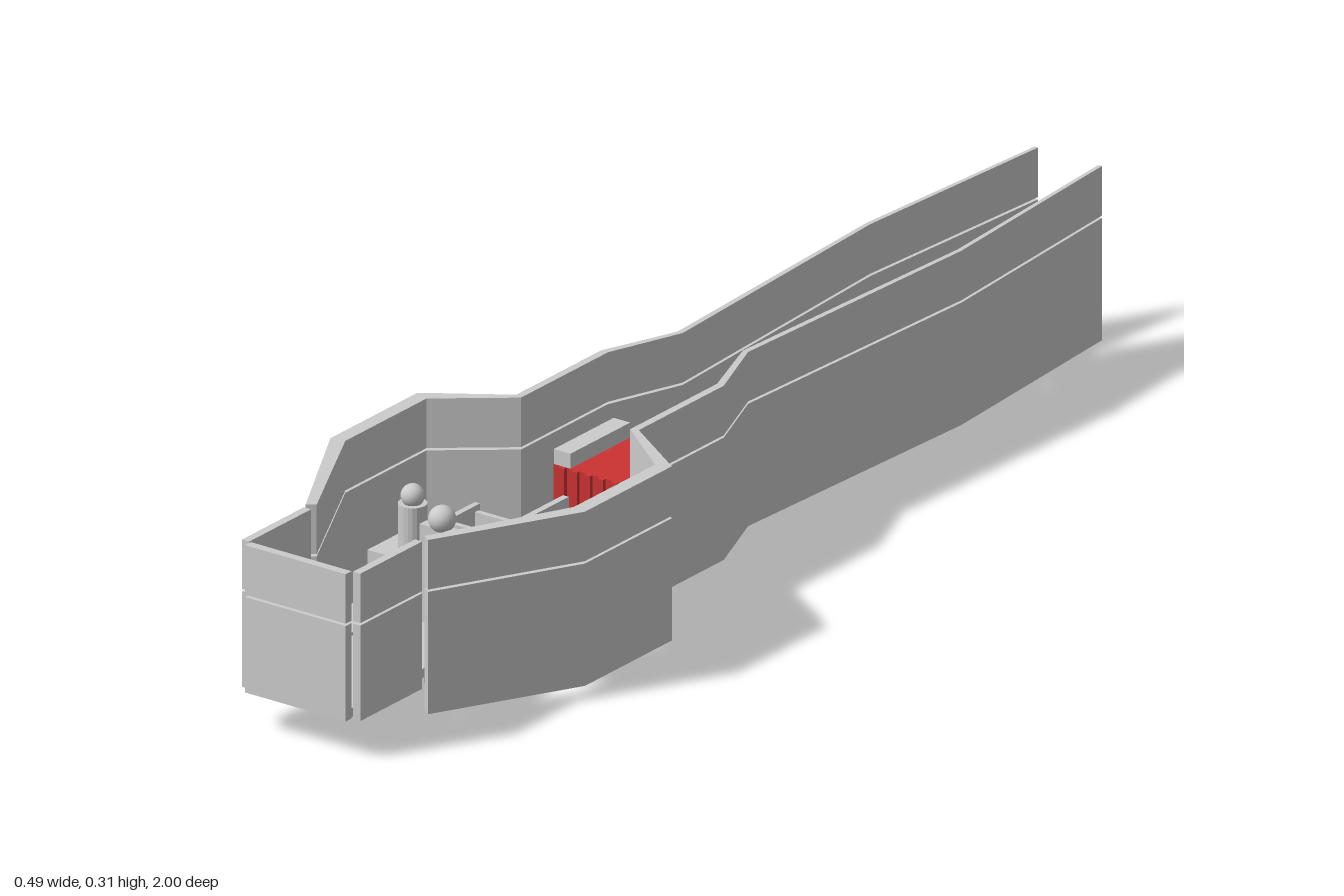
import * as THREE from 'three';

const grey = new THREE.MeshStandardMaterial({ color: 0xcccccc, flatShading: true });
const smooth = new THREE.MeshStandardMaterial({ color: 0xcccccc });
const red = new THREE.MeshStandardMaterial({ color: 0xcc3333, flatShading: true });

export function createModel() {
  const model = new THREE.Group();

  function add(name, geometry, material = grey) {
    const mesh = new THREE.Mesh(geometry, material);
    mesh.name = name;
    model.add(mesh);
    return mesh;
  }
  // Box given by its limits on each axis
  function box(name, x0, x1, y0, y1, z0, z1, material) {
    const g = new THREE.BoxGeometry(x1 - x0, y1 - y0, z1 - z0);
    g.translate((x0 + x1) / 2, (y0 + y1) / 2, (z0 + z1) / 2);
    return add(name, g, material);
  }
  // Plan outline of [x, z] points raised from y0 to y1
  function slab(name, pts, y0, y1, material, hole) {
    const toPath = list => list.map(([x, z]) => new THREE.Vector2(x, -z));
    const shape = new THREE.Shape(toPath(pts));
    if (hole) shape.holes.push(new THREE.Path(toPath(hole)));
    const g = new THREE.ExtrudeGeometry(shape, { depth: y1 - y0, bevelEnabled: false });
    g.rotateX(-Math.PI / 2).translate(0, y0, 0);
    return add(name, g, material);
  }
  const flip = pts => pts.map(([x, z]) => [-x, z]);
  // Symmetric outline from its +x half
  const both = half => [...half, ...flip(half).reverse()];
  const rect = (x, z0, z1) => [[x, z0], [x, z1], [-x, z1], [-x, z0]];

  // Long side walls, in a lower and an upper band
  const outer = [[0.065, -1], [0.092, -0.6], [0.068, -0.08], [0.118, 0.05],
    [0.118, 0.27], [0.245, 0.355], [0.245, 0.58], [0.118, 0.815]];
  const inner = [[0.058, -1], [0.084, -0.6], [0.058, -0.08], [0.105, 0.05],
    [0.105, 0.275], [0.22, 0.365], [0.22, 0.575], [0.104, 0.805]];
  const wall = [...outer, ...inner.slice().reverse()];
  const bands = [['lower', 0.02, 0.225], ['upper', 0.229, 0.312]];
  for (const [band, y0, y1] of bands) {
    slab(band + 'WallLeft', wall, y0, y1);
    slab(band + 'WallRight', flip(wall), y0, y1);
    // Front enclosure
    const yf = Math.max(y0, 0.065);
    box(band + 'FrontPlate', -0.097, 0.097, yf, y1, 0.985, 1);
    for (const s of [1, -1]) {
      box(band + 'FrontSide', Math.min(s * 0.1, s * 0.114), Math.max(s * 0.1, s * 0.114),
        yf, y1, 0.825, 0.985);
    }
  }

  // Front floor and its side wedges
  slab('frontFloor', both([[0.05, 0.64], [0.094, 0.81], [0.094, 0.983]]), 0.065, 0.08);
  const wedge = [[0.06, 0.64], [0.155, 0.64], [0.155, 0.71], [0.103, 0.805]];
  slab('floorWedgeLeft', wedge, 0.065, 0.08);
  slab('floorWedgeRight', flip(wedge), 0.065, 0.08);

  // Cross-shaped tray with a square opening
  const cross = both([[0.065, 0.21], [0.065, 0.352], [0.14, 0.352], [0.14, 0.408],
    [0.065, 0.408], [0.065, 0.62]]);
  slab('trayFloor', cross, 0.065, 0.08, grey, rect(0.03, 0.35, 0.408 - 0.002));
  for (const s of [1, -1]) {
    const side = (name, xa, xb, y0, y1, z0, z1) =>
      box(name, Math.min(s * xa, s * xb), Math.max(s * xa, s * xb), y0, y1, z0, z1);
    side('trayRim', 0.054, 0.065, 0.08, 0.14, 0.22, 0.352);
    side('trayRim', 0.054, 0.065, 0.08, 0.14, 0.408, 0.61);
    side('armRim', 0.054, 0.14, 0.08, 0.14, 0.346, 0.355);
    side('armRim', 0.054, 0.14, 0.08, 0.14, 0.405, 0.414);
    side('armEnd', 0.134, 0.144, 0.065, 0.15, 0.342, 0.418);

    // Knob on a block
    side('knobBlock', 0.085, 0.185, 0.048, 0.135, 0.465, 0.565);
    const stem = new THREE.CylinderGeometry(0.023, 0.023, 0.075, 20);
    add('knobStem', stem, grey).position.set(s * 0.135, 0.172, 0.515);
    const ball = new THREE.SphereGeometry(0.019, 20, 14);
    add('knobBall', ball, smooth).position.set(s * 0.135, 0.222, 0.515);
  }

  // Square tube beneath the opening
  slab('squareTube', rect(0.035, 0.345, 0.412), 0, 0.066, grey, rect(0.03, 0.35, 0.406));

  // Centre post with ball
  box('postBase', -0.068, 0.068, 0.065, 0.14, 0.608, 0.63);
  box('post', -0.036, 0.036, 0.14, 0.238, 0.612, 0.63);
  add('postBall', new THREE.SphereGeometry(0.022, 20, 14), smooth).position.set(0, 0.252, 0.62);

  // Red housing, tapering to the back
  slab('housing', both([[0.034, -0.08], [0.095, 0.05], [0.095, 0.205]]), 0.08, 0.18, red);
  slab('housingCover', both([[0.034, -0.035], [0.06, 0.048]]), 0.18, 0.186);
  for (const s of [1, -1]) {
    const rail = box('housingRail', -0.016, 0.016, 0.18, 0.205, 0.05, 0.205);
    rail.position.x = s * 0.078;
  }
  for (let i = 0; i < 7; i++) {
    const x = -0.075 + i * 0.025;
    box('housingRib', x - 0.006, x + 0.006, 0.085, 0.18, 0.2, 0.212, red);
  }

  // Neck, bulb and tail along the rear
  box('neck', -0.03, 0.03, 0.085, 0.135, -0.345, -0.075);
  box('collar', -0.037, 0.037, 0.085, 0.135, -0.395, -0.345, red);
  box('collarBand', -0.044, 0.044, 0.083, 0.14, -0.38, -0.37);
  slab('bulb', both([[0.025, -0.74], [0.025, -0.65], [0.045, -0.61], [0.066, -0.56],
    [0.066, -0.5], [0.036, -0.4]]), 0.085, 0.14, red);
  box('tailBlock', -0.025, 0.025, 0.085, 0.135, -0.81, -0.765, red);
  slab('tailEnd', both([[0.034, -0.89], [0.03, -0.85], [0.022, -0.81]]), 0.085, 0.135);

  return model;
}
